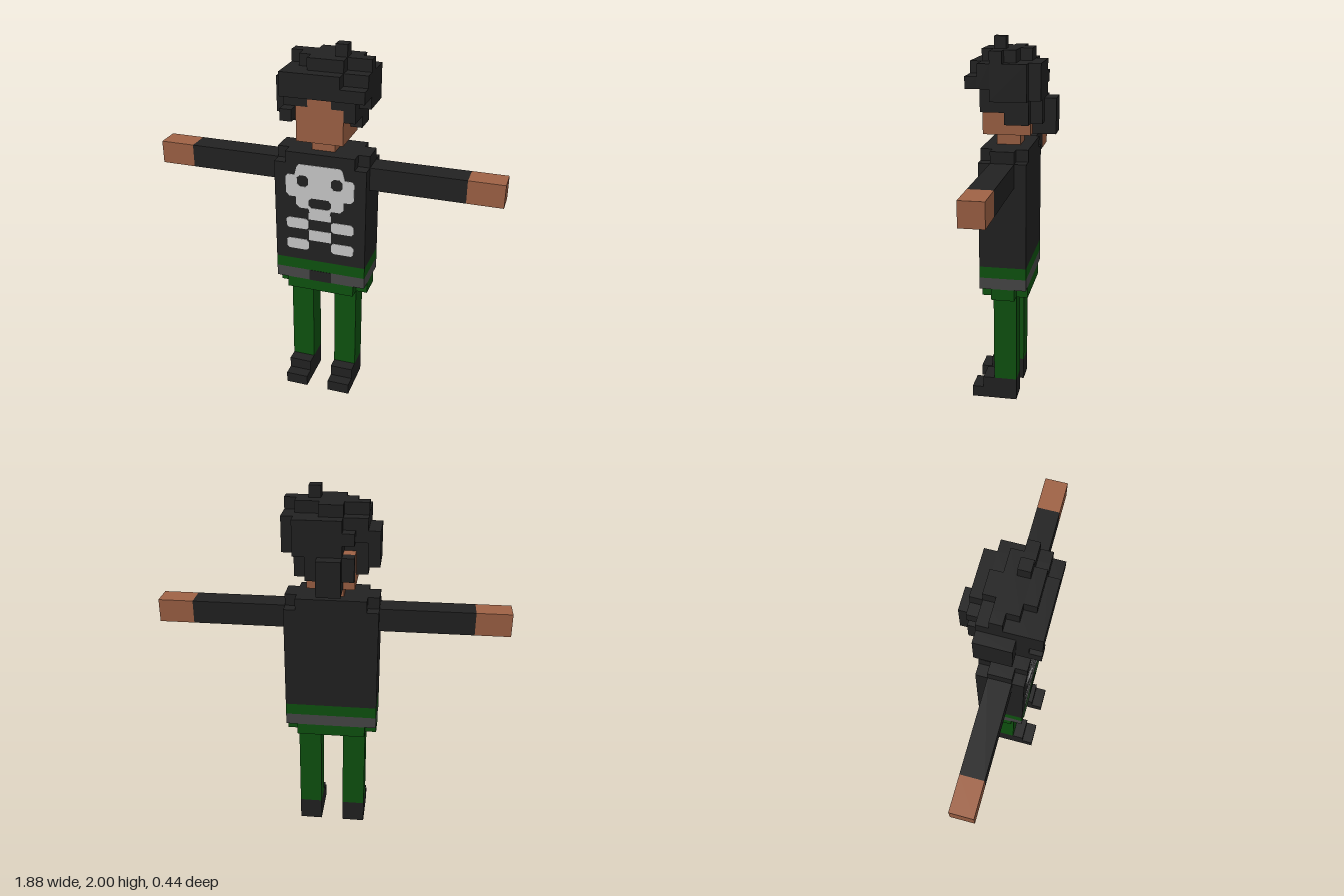
import * as THREE from 'three';

const U = 0.0625; // one block

const mat = (name, color) => Object.assign(new THREE.MeshStandardMaterial({ color }), { name });

export function createModel() {
  const model = new THREE.Group();
  model.name = 'blockFigure';
  const black = mat('black cloth', 0x222222);
  const skin = mat('skin', 0x9f6245);
  const green = mat('green trousers', 0x0f5410);
  const grey = mat('grey belt', 0x484848);
  const white = mat('pale print', 0xcccccc);

  const group = (name) => {
    const g = new THREE.Group();
    g.name = name;
    model.add(g);
    return g;
  };
  // box from block bounds; depth is given from -3.5 to 3.5
  const box = (parent, name, m, x0, x1, y0, y1, z0, z1) => {
    const geo = new THREE.BoxGeometry((x1 - x0) * U, (y1 - y0) * U, (z1 - z0) * U);
    const mesh = new THREE.Mesh(geo, m);
    mesh.position.set((x0 + x1) * U / 2, (y0 + y1) * U / 2, (z0 + z1) * U / 2);
    mesh.name = name;
    parent.add(mesh);
  };
  // one layer with its four corner blocks missing
  const notched = (parent, name, m, y0, y1) => {
    box(parent, name, m, -3, 3, y0, y1, -1.5, 2.5);
    for (const s of [-3.5, 3.5]) box(parent, name + 'Side', m, s - 0.5, s + 0.5, y0, y1, -0.5, 1.5);
  };

  // legs, shoes and arms
  for (const s of [-1, 1]) {
    const side = s > 0 ? 'left' : 'right';
    const leg = group(side + 'Leg');
    const lx = s > 0 ? 1 : -3;
    box(leg, 'trouserLeg', green, lx, lx + 2, 2, 10, -0.5, 1.5);
    box(leg, 'shoe', black, lx, lx + 2, 0, 2, -0.5, 2.5);
    box(leg, 'shoeToe', black, lx, lx + 2, 0, 1, 2.5, 3.5);
    const arm = group(side + 'Arm');
    box(arm, 'sleeve', black, s > 0 ? 4 : -12, s > 0 ? 12 : -4, 20, 22, -0.5, 1.5);
    box(arm, 'hand', skin, s > 0 ? 12 : -15, s > 0 ? 15 : -12, 20, 22, -0.5, 1.5);
  }

  // hips, belt and torso
  const body = group('body');
  notched(body, 'hips', green, 10, 11);
  box(body, 'belt', grey, -4, 4, 11, 12, -1.5, 2.5);
  box(body, 'buckle', black, -1, 1, 11, 12, 2.45, 2.53);
  box(body, 'waist', green, -4, 4, 12, 13, -1.5, 2.5);
  box(body, 'shirt', black, -4, 4, 13, 22, -1.5, 2.5);
  notched(body, 'shoulders', black, 22, 23);

  // chest print: thin plates with clipped corners
  const print = group('chestPrint');
  const plate = (name, shape) => {
    const mesh = new THREE.Mesh(new THREE.ExtrudeGeometry(shape, { depth: 0.04, bevelEnabled: false }), white);
    mesh.scale.setScalar(U);
    mesh.position.z = 2.5 * U;
    mesh.name = name;
    print.add(mesh);
  };
  const clipped = (x0, x1, y0, y1, c, Type = THREE.Shape) => new Type([
    [x0 + c, y0], [x1 - c, y0], [x1, y0 + c], [x1, y1 - c],
    [x1 - c, y1], [x0 + c, y1], [x0, y1 - c], [x0, y0 + c],
  ].map(([x, y]) => new THREE.Vector2(x, y)));
  const half = [[0, 22], [1.8, 22], [2, 21.8], [2.2, 21], [2.8, 21], [3, 20.8], [3, 19.3],
    [2.7, 19], [2.1, 19], [2.1, 18.3], [1.8, 18], [1, 18], [0.9, 17.6], [0, 17.6]];
  const outline = [...half, ...half.slice(1, -1).reverse().map(([x, y]) => [-x, y])];
  const skull = new THREE.Shape(outline.map(([x, y]) => new THREE.Vector2(x, y)));
  skull.holes.push(
    clipped(-2, -1, 20, 21, 0.25, THREE.Path),
    clipped(1, 2, 20, 21, 0.25, THREE.Path),
    clipped(-1, 1, 18.1, 19, 0.25, THREE.Path),
  );
  plate('skull', skull);
  plate('neckBone', clipped(-1, 1, 17, 17.6, 0));
  plate('spine', clipped(-1, 1, 15, 16, 0));
  for (const y of [14, 16]) {
    plate('ribRight', clipped(-3, -1, y, y + 1, 0.2));
    plate('ribLeft', clipped(1, 3, y, y + 1, 0.2));
  }

  // neck and head
  const head = group('head');
  box(head, 'neck', skin, -1, 1, 23, 24, -0.5, 1.5);
  box(head, 'face', skin, -2, 2, 24, 27, -1.5, 2.5);
  box(head, 'forehead', skin, -1, 1, 27, 28, 0.5, 2.5);

  // hair, as blocks: x0, x1, y0, y1, z0, z1
  const hair = group('hair');
  const locks = {
    crown: [-3, 3, 28, 30, -1.5, 2.5],
    rightTemple: [-2, -1, 27, 28, -0.5, 2.5],
    leftTemple: [1, 2, 27, 28, -1.5, 2.5],
    innerBack: [-1, 1, 27, 28, -1.5, 0.5],
    fringe: [-3, 2, 28, 30, 2.5, 3.5],
    leftFringe: [2, 4, 28, 29, 2.5, 3.5],
    leftSide: [2, 3, 26, 28, -1.5, 2.5],
    leftSideTip: [2, 3, 25, 26, -1.5, 0.5],
    leftTuft: [3, 4, 27, 30, -1.5, 1.5],
    leftFrontTuft: [3, 4, 28, 30, 1.5, 2.5],
    rightSide: [-3, -2, 26, 28, -0.5, 2.5],
    rightSideTip: [-3, -2, 25, 26, -0.5, 0.5],
    rightTuft: [-4, -3, 26, 29, -1.5, 1.5],
    rightCurl: [-3, -2, 26, 27, 2.5, 3.5],
    backSlab: [-1, 3, 27, 30, -2.5, -1.5],
    backRight: [-2, -1, 28, 29, -2.5, -1.5],
    ponytail: [-1, 1, 24, 27, -3.5, -1.5],
    ponytailSide: [-2, -1, 25, 27, -2.5, -1.5],
    ponytailLeft: [1, 2, 25, 27, -2.5, -1.5],
    top: [-2, 3, 30, 31, -0.5, 1.5],
    topFront: [-1, 2, 30, 31, 1.5, 2.5],
    topBack: [-1, 1, 30, 31, -1.5, -0.5],
    topRight: [-3, -2, 30, 31, -0.5, 0.5],
    topLeft: [3, 4, 30, 31, 0.5, 1.5],
    spike: [1, 2, 31, 32, 0.5, 1.5],
  };
  for (const [name, b] of Object.entries(locks)) box(hair, name, black, ...b);

  return model;
}
